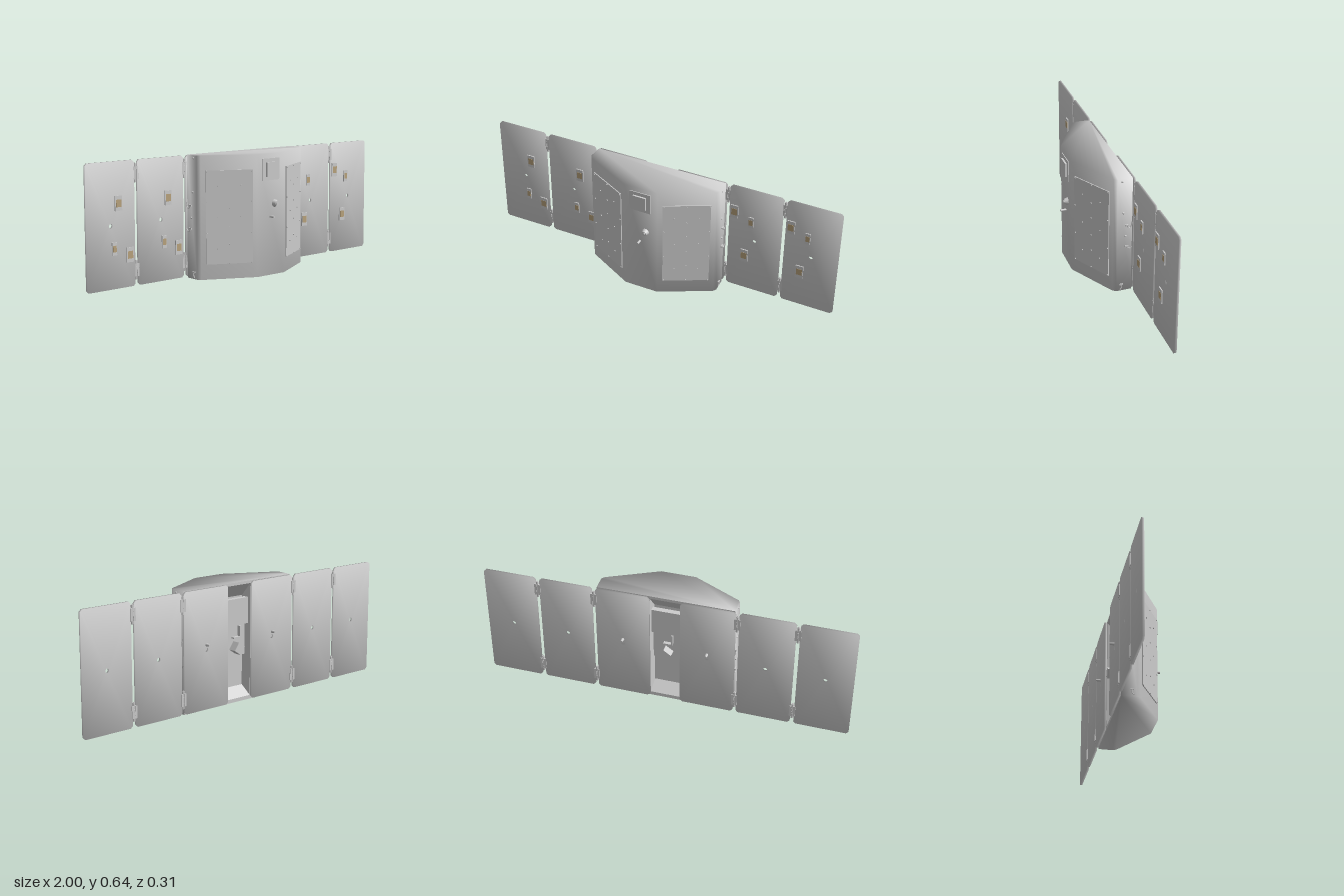
import * as THREE from 'three';

const grey = new THREE.MeshStandardMaterial({ color: 0xcccccc, side: THREE.DoubleSide });
const flatGrey = new THREE.MeshStandardMaterial({ color: 0xcccccc, flatShading: true, side: THREE.DoubleSide });
const tan = new THREE.MeshStandardMaterial({ color: 0xb8a27c });
const H = 0.645, BACK = -0.115;

function add(parent, name, geometry, pos = [0, 0, 0], rot = [0, 0, 0], material = grey) {
  const mesh = new THREE.Mesh(geometry, material);
  mesh.name = name;
  mesh.position.set(...pos);
  mesh.rotation.set(...rot);
  parent.add(mesh);
  return mesh;
}
const box = (w, h, d) => new THREE.BoxGeometry(w, h, d);
const cyl = (r1, r2, h, n = 12) => new THREE.CylinderGeometry(r1, r2, h, n);

// Skin over a list of rings with equal point counts
function loft(rings, { wrap = true, ringWrap = false, capStart = false, capEnd = false } = {}) {
  const n = rings[0].length, m = rings.length, index = [];
  for (let i = 0; i < (ringWrap ? m : m - 1); i++) {
    for (let j = 0; j < (wrap ? n : n - 1); j++) {
      const k = (j + 1) % n, r = ((i + 1) % m) * n;
      index.push(i * n + j, i * n + k, r + j, i * n + k, r + k, r + j);
    }
  }
  for (let j = 1; j < n - 1; j++) {
    if (capStart) index.push(0, j + 1, j);
    const e = (m - 1) * n;
    if (capEnd) index.push(e, e + j, e + j + 1);
  }
  const g = new THREE.BufferGeometry();
  g.setAttribute('position', new THREE.Float32BufferAttribute(rings.flat(2), 3));
  g.setIndex(index);
  g.computeVertexNormals();
  return g;
}

// Thin wing panel with clipped corners, a centre hole and softly fanned normals
function panelGeometry() {
  const w = 0.146, h = 0.318, c = 0.012, r = 0.012, d = 0.006;
  const outer = [[w, h - c], [w - c, h], [c - w, h], [-w, h - c], [-w, c - h], [c - w, -h], [w - c, -h], [w, c - h]];
  const inner = outer.map((_, k) => {
    const a = (k + 0.5) * Math.PI / 4;
    return [r * Math.cos(a), r * Math.sin(a)];
  });
  const at = (ring, z) => ring.map(([x, y]) => [x, y, z]);
  const g = loft([at(outer, -d), at(outer, d), at(inner, d), at(inner, -d)], { ringWrap: true });
  const p = g.attributes.position, v = new THREE.Vector3();
  for (let i = 0; i < p.count; i++) {
    const tilt = i < 16 ? 0.4 : 0;
    v.set(Math.sign(p.getX(i)) * tilt, Math.sign(p.getY(i)) * tilt, Math.sign(p.getZ(i))).normalize();
    g.attributes.normal.setXYZ(i, v.x, v.y, v.z);
  }
  return g;
}

function hull(root) {
  const half = [[0.37, BACK], [0.374, -0.035], [0.362, -0.016], [0.095, 0.125]];
  const outline = [...half.map(([x, z]) => [-x, z]), ...half.slice().reverse()];
  const ring = y => outline.map(([x, z]) => [x, y, z]);
  add(root, 'hull', loft([ring(0), ring(H)], { wrap: false, capStart: true, capEnd: true }));

  // Back wall with a recessed bay
  const rect = (x, y0, y1, z) => [[-x, y0, z], [-x, y1, z], [x, y1, z], [x, y0, z]];
  add(root, 'backWallWithBay', loft([
    rect(0.37, 0, H, BACK), rect(0.083, 0.02, 0.63, BACK), rect(0.075, 0.07, 0.56, -0.06),
  ], { capEnd: true }), [0, 0, 0], [0, 0, 0], flatGrey);
  const bay = new THREE.Group();
  bay.name = 'bayFittings';
  root.add(bay);
  add(bay, 'bayCover', box(0.155, 0.14, 0.03), [0, 0.485, -0.09]);
  add(bay, 'bayShelf', box(0.15, 0.175, 0.02), [0, 0.33, -0.07]);
  add(bay, 'bracketPost', box(0.008, 0.06, 0.02), [-0.03, 0.375, -0.09]);
  add(bay, 'bracketArm', box(0.05, 0.008, 0.02), [-0.008, 0.345, -0.09]);
  add(bay, 'tiltedBox', box(0.05, 0.05, 0.045), [0, 0.29, -0.105], [0, 0, 0.6]);
}

// Riveted plate lying on each slanted face
function slopePlate(root, side) {
  const plate = new THREE.Group();
  plate.name = side > 0 ? 'leftSlopePlate' : 'rightSlopePlate';
  plate.position.set(side * 0.23, 0.324, 0.056);
  plate.rotation.y = side * Math.atan2(0.141, 0.267);
  root.add(plate);
  add(plate, 'plate', box(0.248, 0.488, 0.006));
  const rivet = cyl(0.0035, 0.004, 0.006, 8);
  const spots = [];
  for (const u of [-0.118, 0, 0.118]) for (const y of [-0.24, 0.237]) spots.push([u, y]);
  for (const u of [-0.118, 0.118]) for (const y of [-0.082, 0.08]) spots.push([u, y]);
  for (const u of [-0.063, 0.063]) for (const y of [-0.164, 0, 0.163]) spots.push([u, y]);
  for (const y of [-0.142, -0.051, 0.049, 0.136]) spots.push([0, y]);
  for (const [u, y] of spots) add(plate, 'rivet', rivet, [u, y, 0.004], [Math.PI / 2, 0, 0]);
}

function frontFittings(root) {
  add(root, 'hatchPlate', box(0.12, 0.115, 0.008), [-0.004, 0.562, 0.125]);
  add(root, 'hatchBox', box(0.072, 0.076, 0.018), [-0.004, 0.562, 0.13]);
  add(root, 'knob', cyl(0.013, 0.021, 0.022, 16), [0.027, 0.38, 0.134], [Math.PI / 2, 0, 0]);
  add(root, 'knobTip', cyl(0.008, 0.008, 0.006), [0.027, 0.38, 0.146], [Math.PI / 2, 0, 0]);
  add(root, 'rod', cyl(0.006, 0.006, 0.036), [-0.005, 0.312, 0.138], [Math.PI / 2, 0, 0]);
}

// Domes and hooked cables on the narrow side walls
function sideFittings(root, side) {
  const x = side * 0.372;
  for (const [y, z] of [[0.63, -0.06], [0.454, -0.067], [0.32, -0.08]])
    add(root, 'sideDome', new THREE.SphereGeometry(0.006, 10, 8), [x, y, z]);
  const cable = (pts) => new THREE.TubeGeometry(
    new THREE.CatmullRomCurve3(pts.map(([y, z]) => new THREE.Vector3(x + side * 0.004, y, z))), 16, 0.003, 6);
  for (const [y, drop, rise] of [[0.383, 0.012, 0.02], [0.262, 0.012, 0]]) {
    add(root, 'cablePlug', box(0.012, 0.008, 0.02), [x, y, -0.086]);
    add(root, 'cable', cable([[y, -0.088], [y - drop, -0.092], [y - 0.014, -0.104], [y + rise - 0.004, -0.114]]));
  }
  add(root, 'cablePlug', box(0.012, 0.008, 0.02), [x, 0.037, -0.06]);
  add(root, 'cable', cable([[0.036, -0.062], [0.02, -0.061], [0.008, -0.053]]));
}

// Hinge: two leaves, stacked knuckles and a pin
function hinge(root, x, y) {
  const g = new THREE.Group();
  g.name = 'hinge';
  g.position.set(x, y, -0.125);
  root.add(g);
  for (const s of [-1, 1]) add(g, 'hingeLeaf', box(0.012, 0.065, 0.016), [s * 0.01, 0, 0]);
  for (let i = -1; i <= 1; i++) add(g, 'hingeKnuckle', cyl(0.007, 0.007, 0.03, 10), [0, i * 0.032, 0]);
  add(g, 'hingePin', cyl(0.003, 0.003, 0.1, 8));
}

// Small framed cell on the front of a wing panel
function cell(root, x, y, w, h) {
  add(root, 'cellFrame', box(w, h, 0.007), [x, y, -0.1145]);
  add(root, 'cellWindow', box(w * 0.75, h * 0.5, 0.002), [x, y, -0.1105], [0, 0, 0], tan);
}

export function createModel() {
  const root = new THREE.Group();
  root.name = 'foldOutPanelUnit';
  hull(root);
  frontFittings(root);

  const panel = panelGeometry();
  for (const side of [1, -1]) {
    slopePlate(root, side);
    sideFittings(root, side);
    for (const x of [0.23, 0.541, 0.854]) add(root, 'wingPanel', panel, [side * x, 0.323, -0.123]);
    add(root, 'backSpike', cyl(0.009, 0.006, 0.03), [side * 0.23, 0.35, -0.138], [Math.PI / 2, 0, 0]);
    for (const x of [0.385, 0.698]) for (const y of [0.085, 0.575]) hinge(root, side * x, y);
  }

  // Cells repeat on each pair of outer panels
  for (const shift of [0, 0.312]) {
    cell(root, 0.424 + shift, 0.485, 0.042, 0.078);
    cell(root, 0.518 + shift, 0.443, 0.028, 0.065);
    cell(root, 0.49 + shift, 0.22, 0.042, 0.075);
    cell(root, -0.497 - shift, 0.433, 0.042, 0.075);
    cell(root, -0.525 - shift, 0.208, 0.028, 0.065);
    cell(root, -0.43 - shift, 0.168, 0.042, 0.075);
  }
  return root;
}
